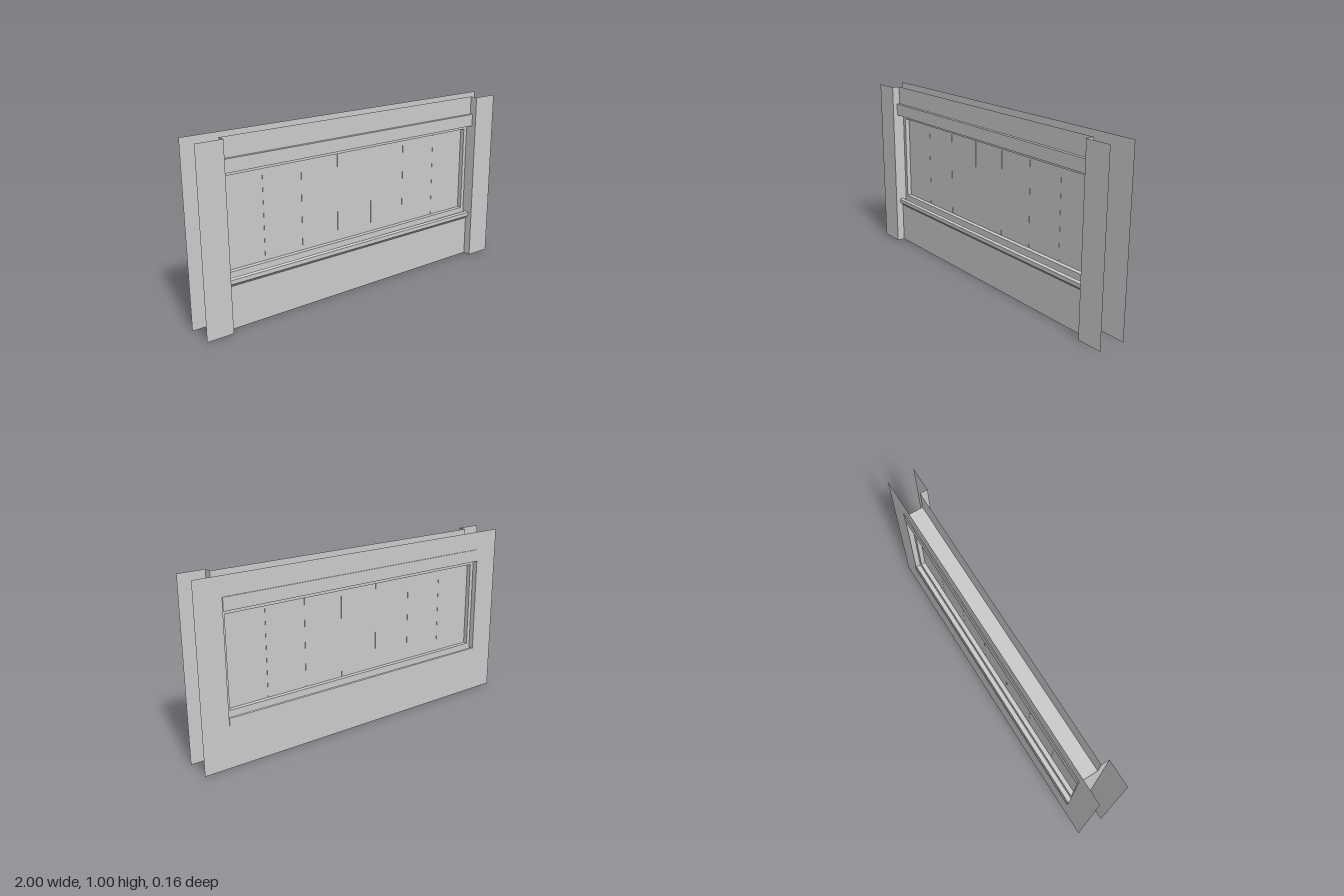
import * as THREE from 'three';

export function createModel() {
  const model = new THREE.Group();
  const mat = new THREE.MeshStandardMaterial({ color: 0xcccccc, side: THREE.DoubleSide, flatShading: true });

  const FRONT = 0.08, WALL = 0.035, BACK = -0.075; // depths of pilaster, wall and rear skin
  const W = 0.85, LOW = 0.255, HIGH = 0.86;        // window opening

  const add = (name, geometry, x = 0, y = 0, z = 0) => {
    const mesh = new THREE.Mesh(geometry, mat);
    mesh.name = name;
    mesh.position.set(x, y, z);
    model.add(mesh);
    return mesh;
  };

  const rect = (Type, w, y0, y1) =>
    new Type([[-w, y0], [w, y0], [w, y1], [-w, y1]].map(([x, y]) => new THREE.Vector2(x, y)));

  const withHole = (w, y0, y1, hw, h0, h1) => {
    const shape = rect(THREE.Shape, w, y0, y1);
    shape.holes.push(rect(THREE.Path, hw, h0, h1));
    return shape;
  };

  // Profile of [z, y] points swept across the opening width
  const sweep = (points) => {
    const shape = new THREE.Shape(points.map(([z, y]) => new THREE.Vector2(-z, y)));
    return new THREE.ExtrudeGeometry(shape, { depth: 2 * W, bevelEnabled: false })
      .translate(0, 0, -W).rotateY(Math.PI / 2);
  };

  // Rear skin with the window opening
  add('rearWall', new THREE.ShapeGeometry(withHole(1, 0, 1, W, LOW, HIGH)), 0, 0, BACK);

  // Front wall: panels above and below the full-width opening
  for (const [name, y0, y1] of [['lowerWall', 0, LOW], ['upperWall', HIGH, 1]])
    add(name, new THREE.PlaneGeometry(2 * W, y1 - y0), 0, (y0 + y1) / 2, WALL);

  // Pilasters with their returns, and the side reveals
  for (const s of [-1, 1]) {
    add('pilaster', new THREE.PlaneGeometry(1 - W, 1), s * (1 + W) / 2, 0.5, FRONT);
    add('pilasterReturn', new THREE.PlaneGeometry(FRONT - WALL, 1), s * W, 0.5, (FRONT + WALL) / 2)
      .rotation.y = -s * Math.PI / 2;
    add('sideReveal', new THREE.PlaneGeometry(WALL - BACK, HIGH - LOW), s * W, (HIGH + LOW) / 2, (WALL + BACK) / 2)
      .rotation.y = -s * Math.PI / 2;
  }

  // Head and sill reveals
  for (const [name, y, turn] of [['headReveal', HIGH, 1], ['sillReveal', LOW, -1]])
    add(name, new THREE.PlaneGeometry(2 * W, WALL - BACK), 0, y, (WALL + BACK) / 2)
      .rotation.x = turn * Math.PI / 2;

  // Window frame
  add('windowFrame', new THREE.ExtrudeGeometry(
    withHole(W, LOW, HIGH, 0.827, 0.3, 0.8), { depth: 0.055, bevelEnabled: false }), 0, 0, -0.045);

  // Row of seven panes
  const paneWidth = 1.654 / 7;
  for (let i = 0; i < 7; i++)
    add('pane', new THREE.BoxGeometry(paneWidth - 0.001, 0.5, 0.004), (i - 3) * paneWidth, 0.55, -0.018);

  // Lintel and sill bands, front and rear
  add('frontLintel', sweep([[WALL, 0.825], [0.053, 0.825], [0.053, 0.895], [WALL, 0.895]]));
  add('rearLintel', sweep([[BACK, 0.825], [-0.08, 0.825], [-0.08, 0.895], [BACK, 0.895]]));
  add('frontSill', sweep([[WALL, 0.235], [0.053, 0.253], [0.053, 0.275], [WALL, 0.28]]));
  add('rearSill', sweep([[BACK, 0.233], [-0.08, 0.233], [-0.08, 0.275], [BACK, 0.28]]));

  return model;
}
